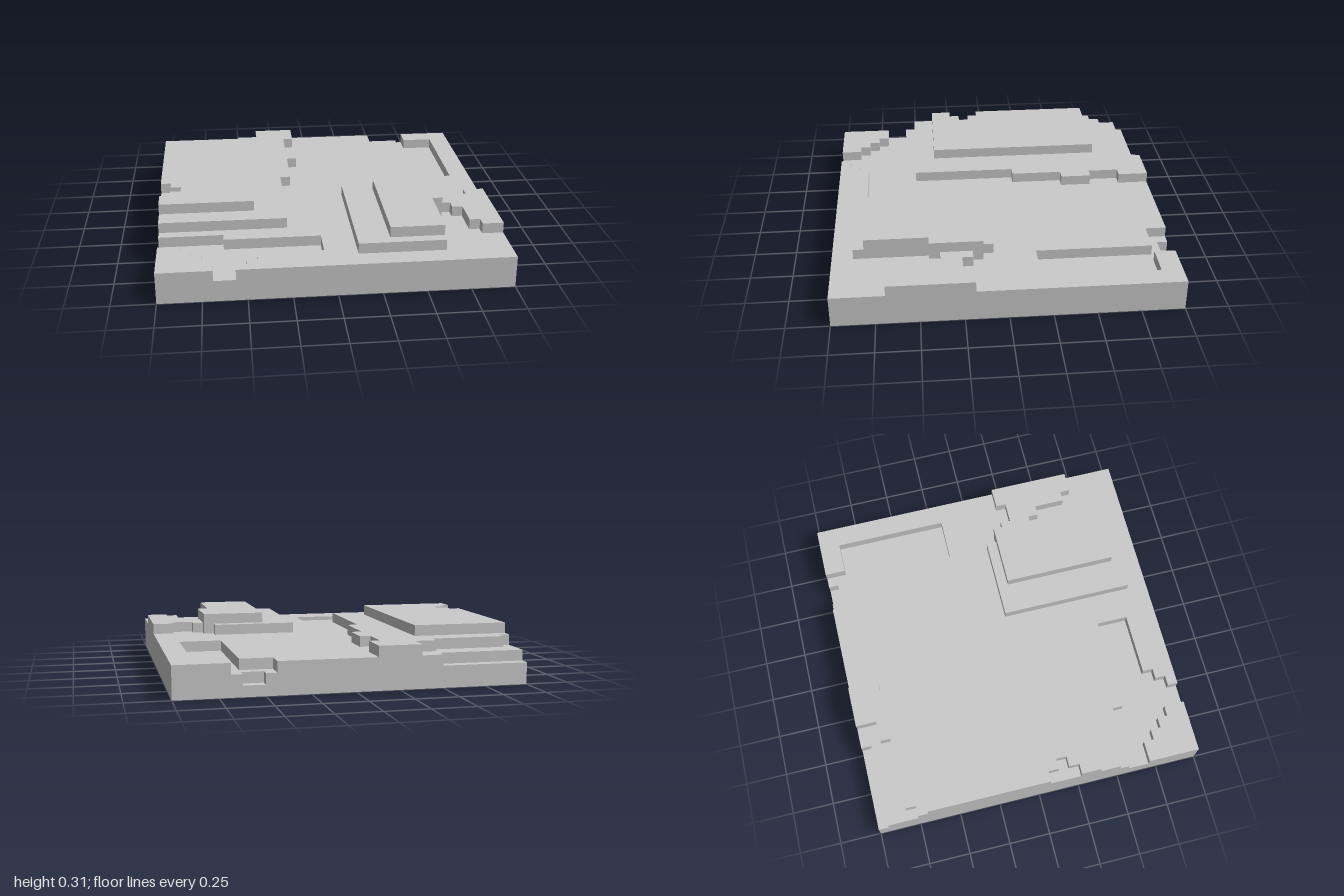
import * as THREE from 'three';

const U = 1 / 16; // one block
const material = new THREE.MeshStandardMaterial({ color: 0xcccccc, flatShading: true });

// Outline points are flat x, z pairs counted in blocks
const points = (list) => {
  const out = [];
  for (let i = 0; i < list.length; i += 2) out.push(new THREE.Vector2(list[i] * U, -list[i + 1] * U));
  return out;
};

// One block-thick terrace whose underside sits at the given level
function terrace(group, name, level, outline, hole) {
  const shape = new THREE.Shape(points(outline));
  if (hole) shape.holes.push(new THREE.Path(points(hole)));
  const geometry = new THREE.ExtrudeGeometry(shape, { depth: U, bevelEnabled: false });
  geometry.rotateX(-Math.PI / 2);
  const mesh = new THREE.Mesh(geometry, material);
  mesh.name = name;
  mesh.position.y = level * U;
  group.add(mesh);
}

export function createModel() {
  const model = new THREE.Group();
  model.name = 'terrain';

  // Solid bedrock
  terrace(model, 'bedrock', 0, [-16, -16, 16, -16, 16, 16, -16, 16]);

  // Channel bed, with the deep pool and the outlet at the back
  terrace(model, 'channelBed', 1,
    [-16, -16, 8, -16, 8, -15, 10, -15, 10, -16, 16, -16, 16, 16, -16, 16],
    [11, -13, 13, -13, 13, -4, 11, -4]);

  // Ground with the pond inlet, the front channel and the back ledge cut out
  terrace(model, 'ground', 2, [
    -16, -15, -8, -15, -8, -16, 7, -16, 7, -14, 10, -14, 10, -3, 14, -3,
    14, -14, 11, -14, 11, -16, 16, -16, 16, 16, -9, 16, -9, 15, -8, 15,
    -8, 14, -7, 14, -7, 13, -1, 13, -1, 10, -10, 10, -10, 9, -16, 9]);
  terrace(model, 'groundCorner', 2, [
    -16, 11, -14, 11, -14, 12, -13, 12, -13, 13, -12, 13, -12, 14, -11, 14,
    -11, 16, -16, 16]);

  // Large hill: lower terrace and top with a small side dent
  terrace(model, 'largeHillTerrace', 3, [
    -16, -12, -15, -12, -15, -13, -8, -13, -8, -14, -6, -14, -6, -16, -2, -16,
    -2, -13, -3, -13, -3, -10, -2, -10, -2, -7, -3, -7, -3, -2, -4, -2,
    -4, 8, -16, 8]);
  terrace(model, 'largeHillTop', 4, [
    -16, -11, -7, -11, -7, 6, -16, 6, -16, 4, -15, 4, -15, 3, -14, 3,
    -14, 2, -15, 2, -15, 1, -16, 1]);

  // Small hill: lower terrace running out to the side, and top
  terrace(model, 'smallHillTerrace', 3, [
    2, 1, 10, 1, 10, 2, 11, 2, 11, 3, 12, 3, 12, 4, 14, 4, 14, 3, 16, 3,
    16, 11, 14, 11, 14, 10, 13, 10, 13, 7, 12, 7, 12, 6, 11, 6, 11, 7, 10, 7,
    10, 14, 2, 14]);
  terrace(model, 'smallHillTop', 4, [5, 2, 11, 2, 11, 7, 10, 7, 10, 13, 5, 13]);

  return model;
}
